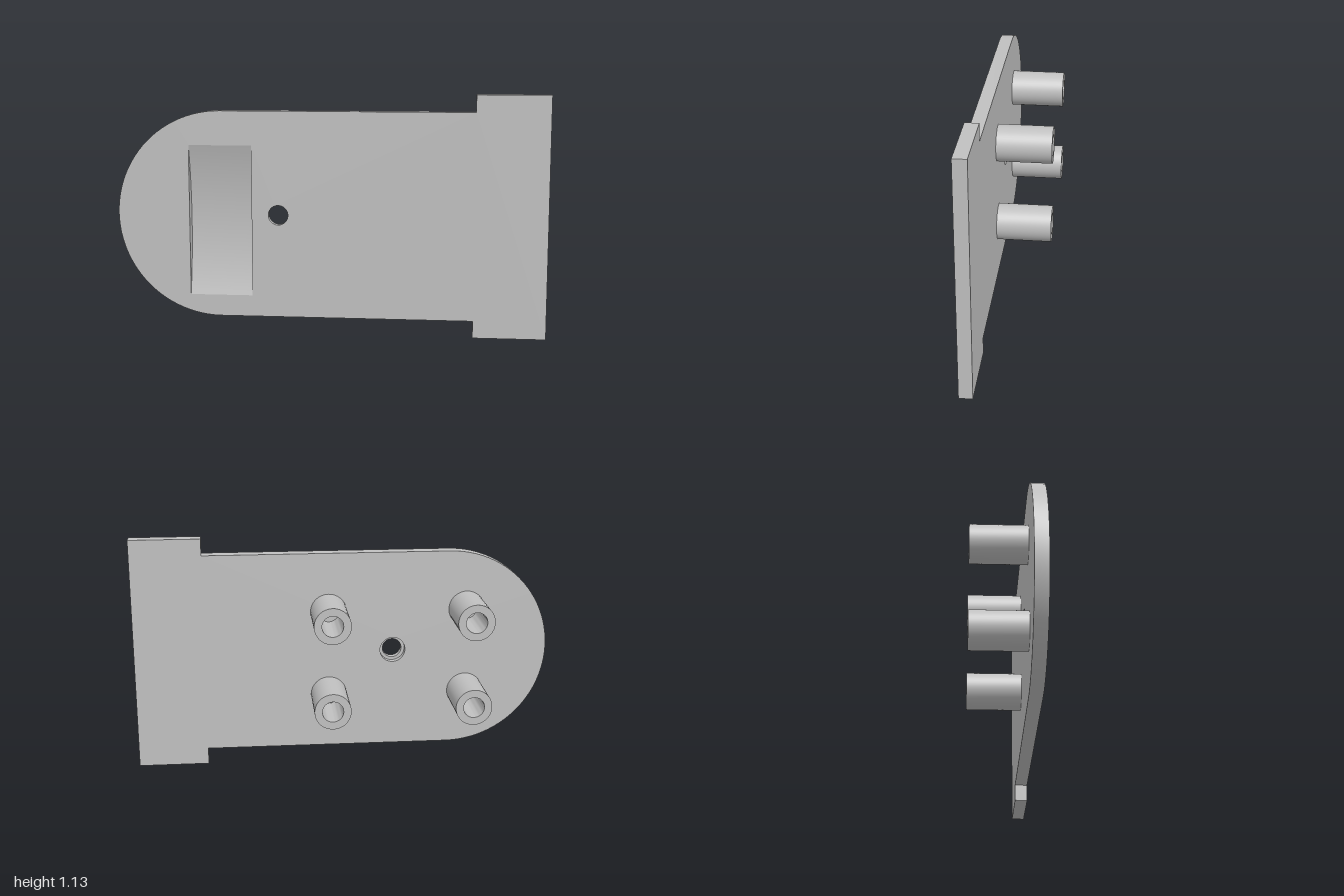
import * as THREE from 'three';
import { toCreasedNormals } from 'three/addons/utils/BufferGeometryUtils.js';

const FRONT = 0.16, BACK = 0.098, MID = 0.564;
const SEG = 24; // curve divisions; full circles get twice as many

// Ribbon of quads between two rows of points
function strip(a, b) {
  const pos = [];
  for (let i = 0; i < a.length - 1; i++) {
    for (const p of [a[i], a[i + 1], b[i + 1], a[i], b[i + 1], b[i]]) pos.push(p.x, p.y, p.z);
  }
  const g = new THREE.BufferGeometry();
  g.setAttribute('position', new THREE.Float32BufferAttribute(pos, 3));
  return toCreasedNormals(g, 0.5);
}

// Turned surface whose axis points to the back, starting at the plate's rear face
function turned(profile) {
  const g = new THREE.LatheGeometry(profile.map(([r, h]) => new THREE.Vector2(r, h)), SEG * 2);
  return toCreasedNormals(g.rotateX(-Math.PI / 2), 0.5);
}

function circle(x, y, r) {
  return new THREE.Path().absarc(x, y, r, 0, Math.PI * 2, true);
}

function outline() {
  const r = 0.484, cx = -1 + r, s = new THREE.Shape();
  s.moveTo(cx, MID - r);
  s.lineTo(0.663, MID - r);
  s.lineTo(0.663, 0);
  s.lineTo(1, 0);
  s.lineTo(1, MID * 2);
  s.lineTo(0.663, MID * 2);
  s.lineTo(0.663, MID + r);
  s.lineTo(cx, MID + r);
  s.absarc(cx, MID, r, Math.PI / 2, Math.PI * 1.5, false);
  return s;
}

export function createModel() {
  const model = new THREE.Group();
  const grey = new THREE.MeshStandardMaterial({ color: 0xc0c0c0 });
  grey.name = 'grey';
  const add = (name, geometry, x = 0, y = 0, z = 0) => {
    const mesh = new THREE.Mesh(geometry, grey);
    mesh.name = name;
    mesh.position.set(x, y, z);
    model.add(mesh);
  };

  const hole = { x: -0.244, y: MID, front: 0.046, back: 0.061, step: 0.03 };
  const groove = { x0: -0.662, x1: -0.368, y: 0.534, half: 0.354, depth: 0.05 };

  // Plate front, pierced by the groove and the screw hole
  const front = outline();
  const { x0, x1, y: gy, half, depth } = groove;
  front.holes.push(
    circle(hole.x, hole.y, hole.front),
    new THREE.Path([[x0, gy - half], [x0, gy + half], [x1, gy + half], [x1, gy - half]]
      .map(([x, y]) => new THREE.Vector2(x, y))));
  add('plateFront', new THREE.ShapeGeometry(front, SEG), 0, 0, FRONT);

  // Plate back, turned to face the rear
  const back = outline();
  back.holes.push(circle(hole.x, hole.y, hole.back));
  const backGeometry = new THREE.ShapeGeometry(back, SEG);
  const index = backGeometry.index.array;
  for (let i = 0; i < index.length; i += 3) [index[i], index[i + 1]] = [index[i + 1], index[i]];
  backGeometry.computeVertexNormals();
  add('plateBack', backGeometry, 0, 0, BACK);

  // Plate rim
  const rim = outline().getPoints(SEG);
  rim.push(rim[0].clone());
  const rimAt = z => rim.map(p => new THREE.Vector3(p.x, p.y, z));
  add('plateRim', strip(rimAt(BACK), rimAt(FRONT)));

  // Shallow curved finger groove: floor and two side walls
  const R = (half * half + depth * depth) / (2 * depth);
  const arc = (x, flat) => Array.from({ length: SEG + 1 }, (_, i) => {
    const t = (i / SEG * 2 - 1) * Math.asin(half / R);
    const z = flat ? FRONT : FRONT + R - depth - R * Math.cos(t);
    return new THREE.Vector3(x, gy + R * Math.sin(t), z);
  });
  add('grooveFloor', strip(arc(x1), arc(x0)));
  add('grooveRightWall', strip(arc(x0), arc(x0, true)));
  add('grooveLeftWall', strip(arc(x1, true), arc(x1)));

  // Screw hole with a wider counterbore at the rear
  add('screwHole', turned([
    [hole.back, 0], [hole.back, -hole.step], [hole.front, -hole.step], [hole.front, BACK - FRONT],
  ]), hole.x, hole.y, BACK);

  // Four hollow standoffs on the rear
  const length = BACK + 0.16;
  for (const x of [-0.603, 0.067]) {
    for (const y of [0.346, 0.762]) {
      add('standoff', turned([[0.087, 0], [0.087, length], [0.05, length], [0.05, 0]]), x, y, BACK);
    }
  }
  return model;
}
